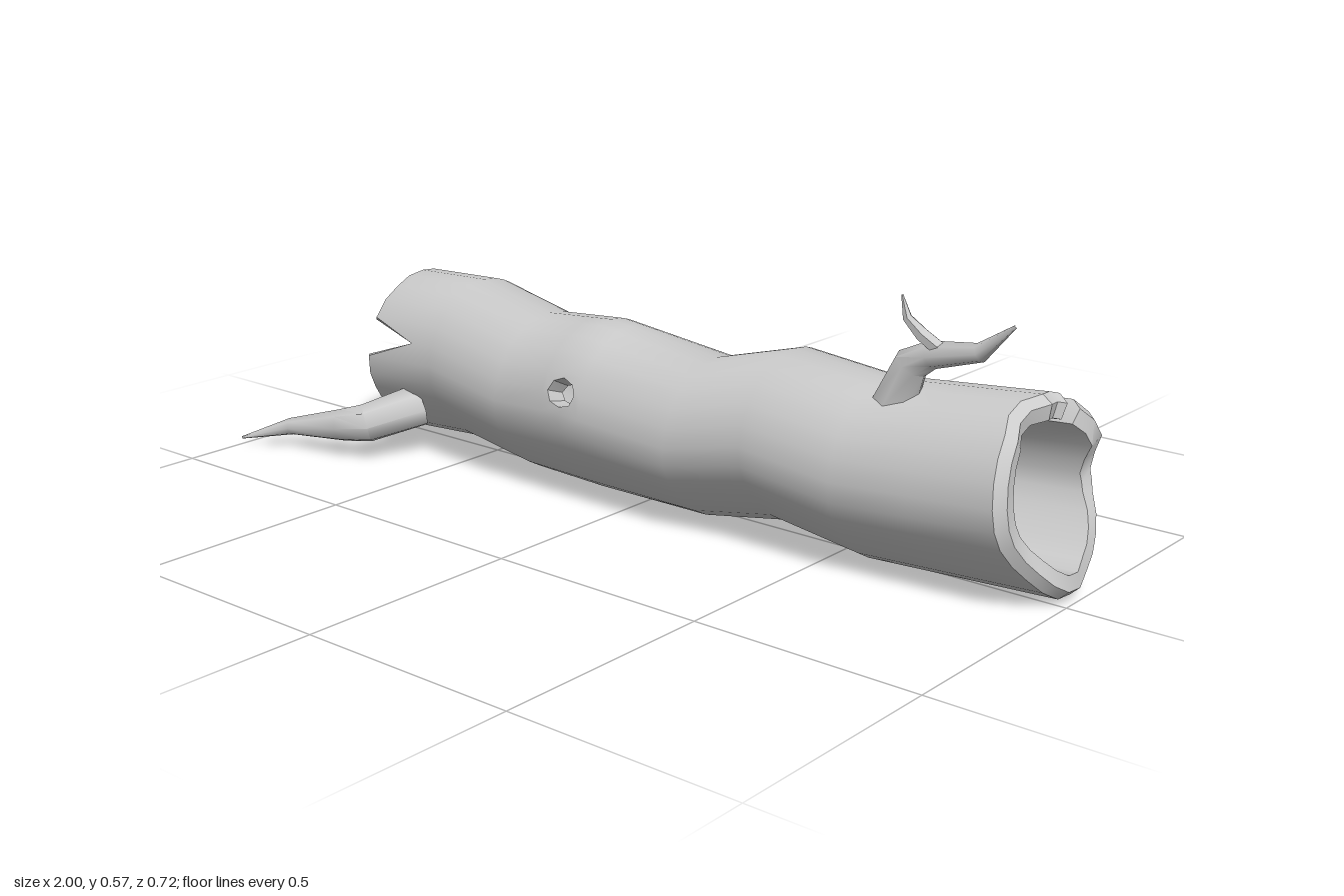
import * as THREE from 'three';
import { toCreasedNormals } from 'three/addons/utils/BufferGeometryUtils.js';

const material = new THREE.MeshStandardMaterial({ color: 0xcccccc });
const V = (x, y, z) => new THREE.Vector3(x, y, z);

// Around the log: angle (0 = front, 90 = top), x of left end, x of right end; dips are cracks
const RIM = [
  [5, -0.78, 0.94], [19, -0.63, 0.935], [33, -0.78, 0.93], [48, -0.78, 0.925],
  [62, -0.775, 0.91], [76, -0.78, 0.91], [90, -0.78, 0.93], [104, -0.79, 0.92],
  [111, -0.79, 0.93], [117, -0.8, 0.78], [123, -0.81, 0.94], [137, -0.79, 0.955],
  [151, -0.8, 0.96], [165, -0.85, 0.94], [177, -0.84, 0.93], [184, -0.68, 0.935],
  [191, -0.87, 0.94], [205, -0.88, 0.96], [220, -0.87, 0.975], [235, -0.86, 0.985],
  [250, -0.83, 0.99], [265, -0.81, 1.0], [280, -0.8, 1.0], [295, -0.8, 0.99],
  [310, -0.79, 0.975], [325, -0.79, 0.96], [340, -0.78, 0.95], [352, -0.78, 0.945],
];

// Along the log: x, bottom y, top y, back z, front z
const SECTIONS = [
  [-0.88, 0.005, 0.39, -0.215, 0.15], [-0.54, 0.035, 0.41, -0.19, 0.175],
  [-0.32, 0.01, 0.37, -0.17, 0.19], [-0.12, 0.01, 0.39, -0.15, 0.2],
  [0.17, 0.01, 0.355, -0.155, 0.2], [0.36, 0.04, 0.405, -0.17, 0.19],
  [0.57, 0.004, 0.38, -0.185, 0.18], [1.0, 0.012, 0.41, -0.222, 0.15],
];

// Point on the log at x and angle, moved inwards by inset
function logPoint(x, deg, inset) {
  let k = 0;
  while (k < SECTIONS.length - 2 && x > SECTIONS[k + 1][0]) k++;
  const A = SECTIONS[k], B = SECTIONS[k + 1];
  const t = THREE.MathUtils.clamp((x - A[0]) / (B[0] - A[0]), 0, 1);
  const [, y0, y1, z0, z1] = A.map((v, i) => v + (B[i] - v) * t);
  const a = THREE.MathUtils.degToRad(deg);
  const squash = Math.sin(a) < 0 ? 1 - 0.1 * Math.sin(2 * a) ** 2 : 1;
  return V(x,
    (y0 + y1) / 2 + ((y1 - y0) / 2 - inset) * squash * Math.sin(a),
    (z0 + z1) / 2 + ((z1 - z0) / 2 - inset) * squash * Math.cos(a));
}

function meshFrom(quads, crease, name) {
  const pos = [];
  for (const [a, b, c, d] of quads) {
    for (const p of [a, b, c, a, c, d]) pos.push(p.x, p.y, p.z);
  }
  const geo = new THREE.BufferGeometry();
  geo.setAttribute('position', new THREE.Float32BufferAttribute(pos, 3));
  const mesh = new THREE.Mesh(toCreasedNormals(geo, crease), material);
  mesh.name = name;
  return mesh;
}

// Hollow trunk: outside skin, right rim, inside skin, left rim in one closed loop of rows
function makeTrunk() {
  const xs = [-0.54, -0.32, -0.175, -0.12, -0.065, 0.17, 0.36, 0.57, 0.74];
  const WALL = 0.05;
  const rows = [];
  const addRow = (xOf, inset) => rows.push(RIM.map((r) => logPoint(xOf(r), r[0], inset)));
  addRow((r) => r[1] + 0.02, 0);
  xs.forEach((x) => addRow(() => x, 0));
  addRow((r) => r[2] - 0.02, 0);
  addRow((r) => r[2], 0.018);
  addRow((r) => r[2] - 0.005, WALL);
  [...xs].reverse().forEach((x) => addRow(() => x, WALL));
  addRow((r) => r[1] + 0.005, WALL);
  addRow((r) => r[1], 0.018);

  const n = rows.length, m = RIM.length;
  const outerKnot = 4;                    // row through the knothole, outside
  const innerKnot = 12 + xs.length - 3;   // same row, inside
  const quads = [];
  for (let i = 0; i < n; i++) {
    for (let j = 0; j < m; j++) {
      const inKnot = [outerKnot, innerKnot].some((c) => i === c || i === c - 1);
      if (inKnot && j < 2) continue;
      const P = rows[i], Q = rows[(i + 1) % n], k = (j + 1) % m;
      quads.push([P[j], Q[j], Q[k], P[k]]);
    }
  }

  // Knothole through the front wall
  const around = [[-1, -1], [0, -1], [1, -1], [1, 0], [1, 1], [0, 1], [-1, 1], [-1, 0]];
  const ring = (row, flip) => around.map(([di, dj]) => {
    const edge = rows[row + di * flip][1 + dj];
    const hole = rows[row][1].clone().lerp(edge, di && dj ? 0.5 : 0.7);
    return { edge, hole };
  });
  const out = ring(outerKnot, 1), inn = ring(innerKnot, -1);
  for (let k = 0; k < 8; k++) {
    const l = (k + 1) % 8;
    quads.push([out[k].edge, out[l].edge, out[l].hole, out[k].hole]);
    quads.push([out[k].hole, out[l].hole, inn[l].hole, inn[k].hole]);
    quads.push([inn[k].hole, inn[l].hole, inn[l].edge, inn[k].edge]);
  }
  return meshFrom(quads, 0.6, 'hollowTrunk');
}

// Tapered, bent branch from path points [x, y, z, radius]
function makeBranch(name, ref, path, sides = 8) {
  const pts = path.map((p) => V(p[0], p[1], p[2]));
  const rings = path.map((p, i) => {
    const before = pts[Math.max(i - 1, 0)], after = pts[Math.min(i + 1, pts.length - 1)];
    const t = after.clone().sub(before).normalize();
    const u = V().crossVectors(ref, t).normalize();
    const w = V().crossVectors(t, u);
    return Array.from({ length: sides }, (_, j) => {
      const a = (j / sides) * Math.PI * 2;
      return pts[i].clone()
        .addScaledVector(u, p[3] * Math.cos(a))
        .addScaledVector(w, p[3] * Math.sin(a));
    });
  });
  const quads = [];
  for (let i = 0; i < rings.length - 1; i++) {
    for (let j = 0; j < sides; j++) {
      const k = (j + 1) % sides;
      quads.push([rings[i][j], rings[i][k], rings[i + 1][k], rings[i + 1][j]]);
    }
  }
  return meshFrom(quads, 0.95, name);
}

export function createModel() {
  const log = new THREE.Group();
  log.name = 'hollowLog';
  const up = V(0, 1, 0), front = V(0, 0, 1);
  log.add(
    makeTrunk(),
    makeBranch('frontBranch', up, [
      [-0.635, 0.118, 0.12, 0.052], [-0.69, 0.09, 0.235, 0.046],
      [-0.75, 0.078, 0.255, 0.038], [-0.9, 0.052, 0.285, 0.02], [-0.998, 0.021, 0.354, 0.003],
    ]),
    makeBranch('backBranch', up, [
      [-0.045, 0.13, -0.125, 0.05], [-0.11, 0.102, -0.245, 0.043],
      [-0.155, 0.108, -0.27, 0.035], [-0.27, 0.135, -0.295, 0.02], [-0.37, 0.14, -0.36, 0.003],
    ]),
    makeBranch('topBranch', front, [
      [0.63, 0.35, 0.045, 0.046], [0.665, 0.435, 0.045, 0.036],
      [0.71, 0.46, 0.043, 0.028], [0.82, 0.485, 0.05, 0.019], [0.897, 0.55, 0.06, 0.003],
    ]),
    makeBranch('topTwig', front, [
      [0.74, 0.468, 0.047, 0.016], [0.695, 0.5, 0.058, 0.015],
      [0.665, 0.53, 0.065, 0.01], [0.655, 0.575, 0.07, 0.002],
    ], 6),
  );
  return log;
}
